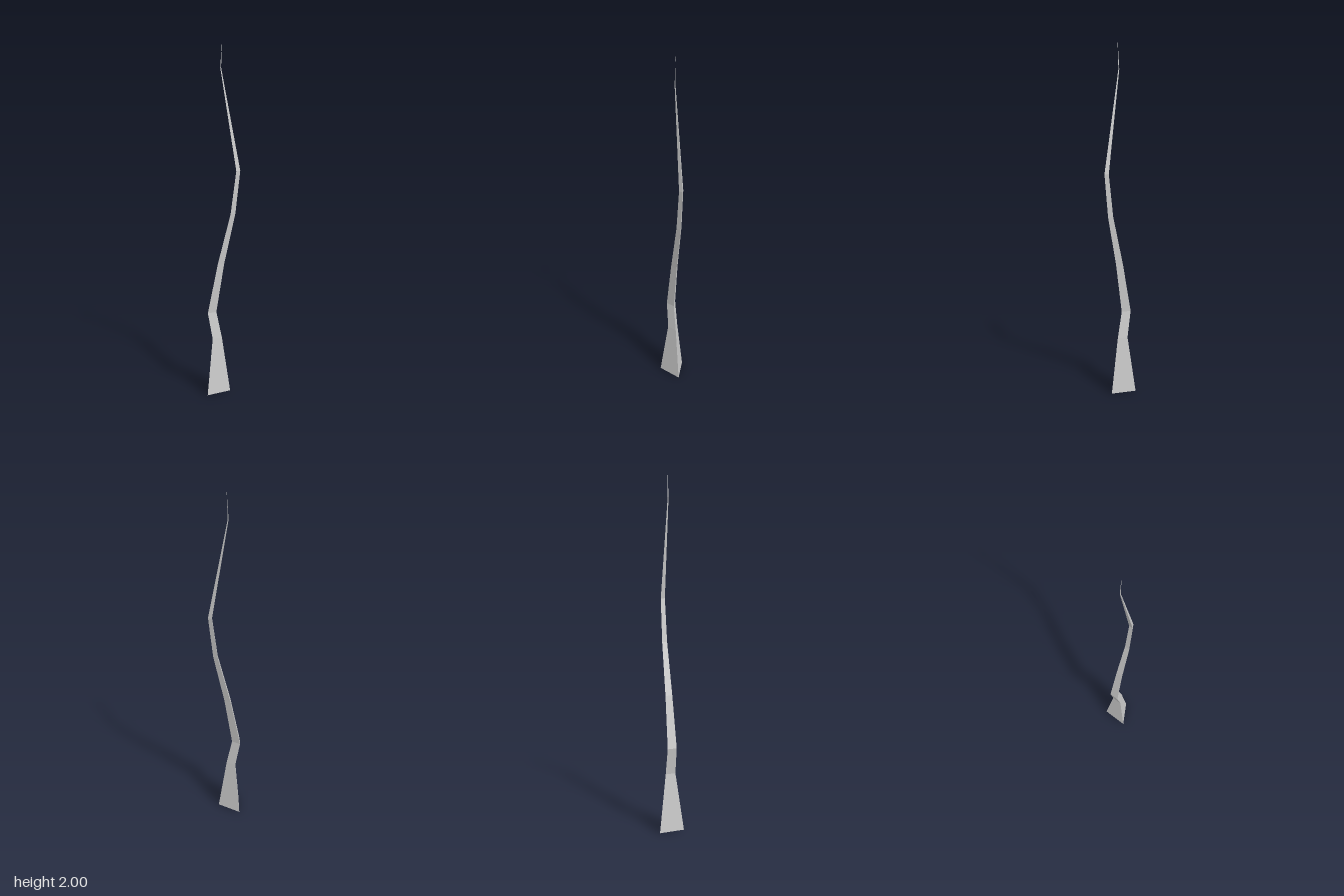
import * as THREE from 'three';

// Sections of the bent stalk: height, x of the flat back side, half width in z
const SECTIONS = [
  [0, -0.089, 0.072],
  [0.335, -0.063, 0.029],
  [0.49, -0.09, 0.0265],
  [0.78, -0.034, 0.02],
  [1.07, 0.037, 0.0145],
  [1.31, 0.067, 0.012],
  [1.855, -0.02, 0.0025],
  [2, -0.01, 0.0002],
];

// Loft equilateral triangles whose ridge points to +x
function stalkGeometry() {
  const pos = [];
  const index = [];
  for (const [y, x, h] of SECTIONS) {
    pos.push(x, y, -h, x, y, h, x + h * Math.sqrt(3), y, 0);
  }
  const last = (SECTIONS.length - 1) * 3;
  for (let i = 0; i < last; i += 3) {
    for (let j = 0; j < 3; j++) {
      const a = i + j, b = i + (j + 1) % 3;
      index.push(a, b, b + 3, a, b + 3, a + 3);
    }
  }
  // End caps
  index.push(0, 2, 1, last, last + 1, last + 2);

  const indexed = new THREE.BufferGeometry();
  indexed.setAttribute('position', new THREE.Float32BufferAttribute(pos, 3));
  indexed.setIndex(index);
  const geometry = indexed.toNonIndexed();
  geometry.computeVertexNormals();
  return geometry;
}

export function createModel() {
  const group = new THREE.Group();
  group.name = 'bentStalk';
  const material = new THREE.MeshStandardMaterial({ color: 0xcccccc, flatShading: true });
  const stalk = new THREE.Mesh(stalkGeometry(), material);
  stalk.name = 'stalk';
  group.add(stalk);
  return group;
}
